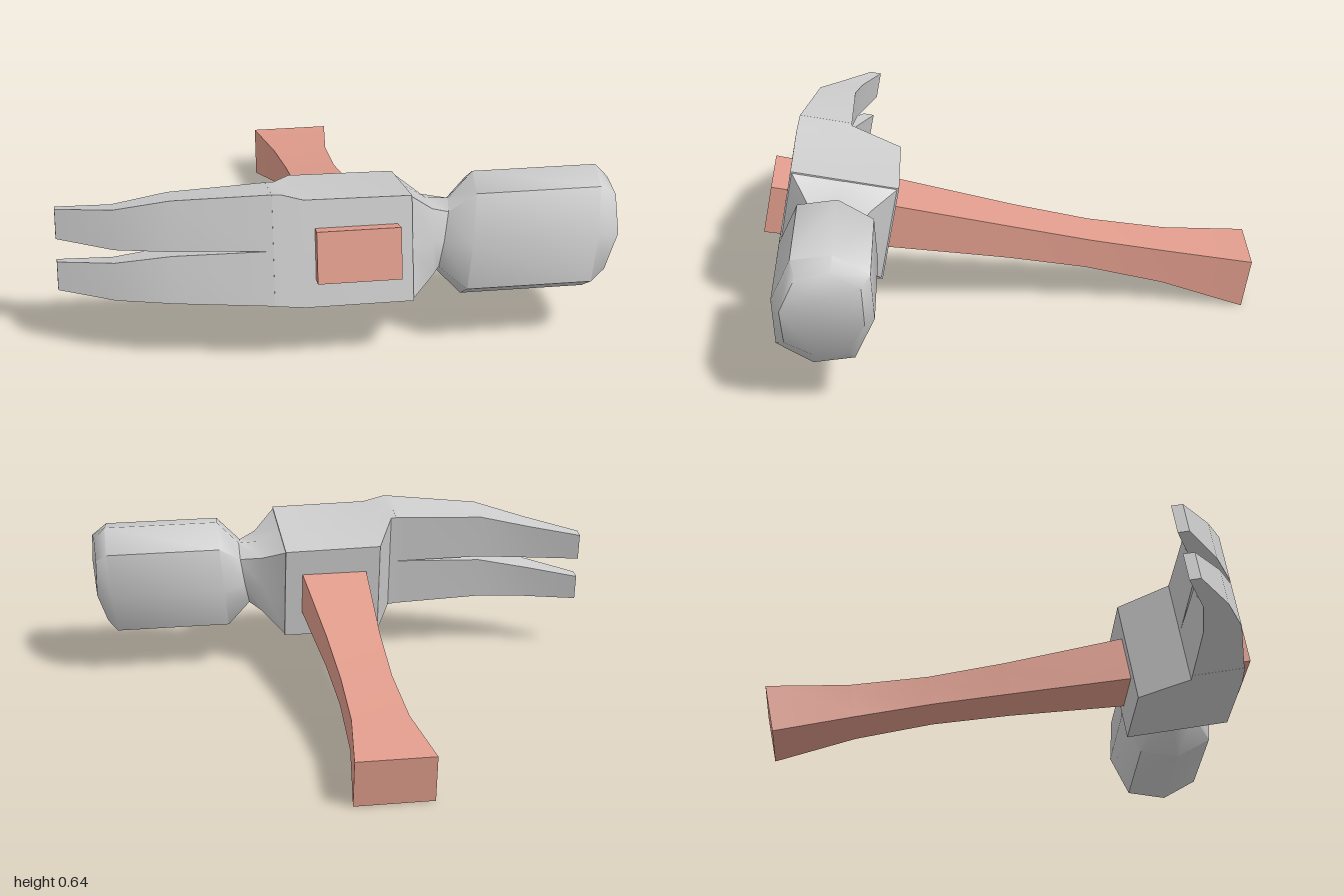
import * as THREE from 'three';
import { toCreasedNormals } from 'three/addons/utils/BufferGeometryUtils.js';

const MID = 0.263; // height of the handle axis

// Skin closed rings of [x, y, z] points and cap both ends
function loft(rings, crease) {
  const n = rings[0].length, pos = [], idx = [];
  rings.forEach(r => r.forEach(p => pos.push(...p)));
  for (let i = 0; i < rings.length - 1; i++) {
    for (let j = 0; j < n; j++) {
      const a = i * n + j, b = i * n + (j + 1) % n;
      idx.push(a, a + n, b, b, a + n, b + n);
    }
  }
  const last = (rings.length - 1) * n;
  for (let j = 1; j < n - 1; j++) {
    idx.push(0, j, j + 1, last, last + j + 1, last + j);
  }
  const g = new THREE.BufferGeometry();
  g.setAttribute('position', new THREE.Float32BufferAttribute(pos, 3));
  g.setIndex(idx);
  return toCreasedNormals(g.toNonIndexed(), crease);
}

// Eight-sided ring across x; k = 1 is a rectangle, 0.71 an ellipse.
// shift moves each point along x by its height in the ring.
function ring({ x, z, y = MID, hz, hy, k, shift = () => 0 }) {
  const pts = [];
  for (let j = 0; j < 8; j++) {
    const a = j * Math.PI / 4, f = j % 2 ? k * Math.SQRT2 : 1;
    const c = Math.cos(a) * f, s = Math.sin(a) * f;
    pts.push([x + shift(s, c), y + hy * s, z + hz * c]);
  }
  return pts;
}

export function createModel() {
  const model = new THREE.Group();
  model.name = 'clawHammer';
  const steel = new THREE.MeshStandardMaterial({ color: 0xcccccc });
  const wood = new THREE.MeshStandardMaterial({ color: 0xe09c8c });
  const add = (name, geometry, material) => {
    const mesh = new THREE.Mesh(geometry, material);
    mesh.name = name;
    model.add(mesh);
  };

  // Handle: rectangular sections [z, half width, half height]
  const handle = [
    [-0.879, 0.15, 0.094], [-0.56, 0.108, 0.067], [-0.257, 0.098, 0.058],
    [0.045, 0.105, 0.066], [0.5, 0.13, 0.086], [0.982, 0.15, 0.094],
  ].map(([z, w, h]) => [[1, -1], [-1, -1], [-1, 1], [1, 1]]
    .map(([sx, sy]) => [0.045 + sx * w, MID + sy * h, z]));
  add('handle', loft(handle, 0.5), wood);

  // Block around the handle, from the claw root to the neck side
  add('headBlock', loft([
    ring({ x: -0.25, z: 0.8125, y: 0.282, hz: 0.1025, hy: 0.202, k: 1 }),
    ring({ x: -0.22, z: 0.8125, y: 0.28, hz: 0.104, hy: 0.203, k: 1 }),
    ring({ x: -0.14, z: 0.715, y: 0.265, hz: 0.205, hy: 0.195, k: 1 }),
    ring({ x: 0.245, z: 0.715, hz: 0.205, hy: 0.192, k: 1 }),
  ], 0.6), steel);

  // Neck and striking poll, with a slanted waist and a tilted face
  const slant = (s, c) => 0.025 * s - 0.012 * c;
  const poll = { z: 0.737, hz: 0.184, hy: 0.226, k: 0.77 };
  add('neckAndPoll', loft([
    ring({ x: 0.24, z: 0.715, hz: 0.203, hy: 0.19, k: 1 }),
    ring({ x: 0.33, z: 0.725, hz: 0.135, hy: 0.135, k: 0.9 }),
    ring({ x: 0.385, z: 0.73, hz: 0.115, hy: 0.13, k: 0.77, shift: slant }),
    ring({ ...poll, x: 0.475, shift: slant }),
    ring({ ...poll, x: 0.93, shift: slant }),
    ring({ ...poll, x: 1, hz: 0.15, hy: 0.178, shift: s => -0.055 * Math.max(0, -s) }),
  ], 0.9), steel);

  // Claw: two prongs, [x, back z, front z, top, upper inner, lower inner, bottom]
  const claw = [
    [-1, 0.602, 0.645, 0.414, 0.305, 0.22, 0.116],
    [-0.8, 0.677, 0.77, 0.428, 0.283, 0.235, 0.098],
    [-0.6, 0.706, 0.85, 0.468, 0.284, 0.268, 0.095],
    [-0.24, 0.71, 0.915, 0.484, 0.281, 0.281, 0.08],
  ];
  const prong = (top, bottom) => loft(claw.map(s => {
    const [x, back, front] = s;
    return [[x, s[bottom], front], [x, s[top], front], [x, s[top], back], [x, s[bottom], back]];
  }), 0.5);
  add('upperProng', prong(3, 4), steel);
  add('lowerProng', prong(5, 6), steel);

  // Resting tilt, head end raised
  model.rotation.x = -0.185;
  return model;
}
